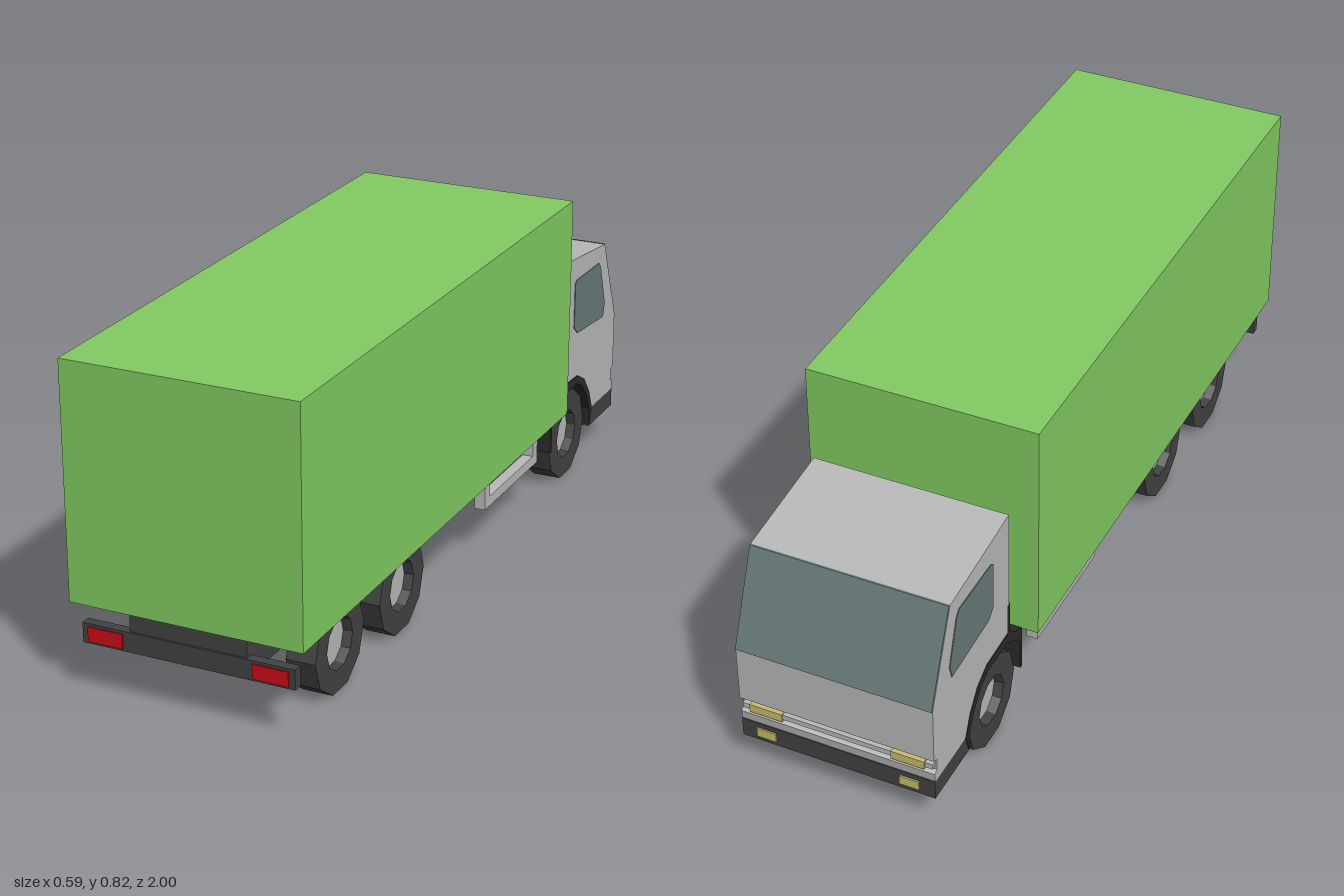
import * as THREE from 'three';

const mat = (color) => new THREE.MeshStandardMaterial({ color, flatShading: true });

export function createModel() {
  const truck = new THREE.Group();
  truck.name = 'boxTruck';
  const green = mat(0x83cc62), grey = mat(0xbababa), dark = mat(0x424242), black = mat(0x2b2b2b);
  const glass = mat(0x687a7a), red = mat(0xcc0d18), yellow = mat(0xc8bc70);

  const add = (name, geometry, material) => {
    const mesh = new THREE.Mesh(geometry, material);
    mesh.name = name;
    truck.add(mesh);
    return mesh;
  };
  // Box given by its limits on each axis
  const box = (name, material, x0, x1, y0, y1, z0, z1) => {
    const m = add(name, new THREE.BoxGeometry(x1 - x0, y1 - y0, z1 - z0), material);
    m.position.set((x0 + x1) / 2, (y0 + y1) / 2, (z0 + z1) / 2);
    return m;
  };
  // Side outline of [z, y] points, extruded across x
  const sideExtrude = (name, material, pts, x0, x1) => {
    const shape = new THREE.Shape(pts.map(([z, y]) => new THREE.Vector2(-z, y)));
    const g = new THREE.ExtrudeGeometry(shape, { depth: x1 - x0, bevelEnabled: false });
    g.rotateY(Math.PI / 2).translate(x0, 0, 0);
    return add(name, g, material);
  };

  // Cargo body and chassis
  box('cargoBox', green, -0.296, 0.296, 0.237, 0.825, -0.535, 1);
  box('chassis', dark, -0.149, 0.149, 0.137, 0.237, -0.575, 0.985);
  box('frontChassis', black, -0.149, 0.149, 0.14, 0.235, -0.9, -0.575);
  box('rearBumper', dark, -0.27, 0.27, 0.137, 0.187, 0.965, 0.99);

  // Cab shell with wheel arch and a slot across the nose
  sideExtrude('cab', grey, [
    [-0.597, 0.625], [-0.9, 0.592], [-0.995, 0.357], [-0.995, 0.205], [-0.98, 0.2],
    [-0.98, 0.168], [-0.993, 0.163], [-0.99, 0.138], [-0.825, 0.138], [-0.8, 0.19],
    [-0.765, 0.235], [-0.72, 0.262], [-0.597, 0.262],
  ], -0.25, 0.25);
  sideExtrude('windscreen', glass, [
    [-0.899, 0.594], [-0.903, 0.593], [-0.999, 0.357], [-0.994, 0.356],
  ], -0.249, 0.249);
  box('noseStrip', grey, -0.245, 0.245, 0.176, 0.19, -0.992, -0.975);
  box('frontBumper', dark, -0.25, 0.25, 0.087, 0.139, -0.992, -0.82);
  box('cabBackSill', black, -0.25, 0.25, 0.25, 0.36, -0.607, -0.592);

  // Tyre with a recessed rim on the outer face, axis along y
  const R = 0.124, r = 0.066, half = 0.0375;
  const tyreProfile = [
    [0, -half], [R, -half], [R, half], [r, half], [r - 0.004, half - 0.025],
  ].map(([a, b]) => new THREE.Vector2(a, b));
  const tyreGeo = new THREE.LatheGeometry(tyreProfile, 10);
  const hubGeo = new THREE.CylinderGeometry(r, r, 0.01, 10);

  for (const s of [1, -1]) {
    // Mirrored box: limits are given for the left side
    const sideBox = (name, m, x0, x1, ...rest) =>
      box(name, m, Math.min(s * x0, s * x1), Math.max(s * x0, s * x1), ...rest);
    const sidePart = (name, m, pts, x0, x1) =>
      sideExtrude(name, m, pts, Math.min(s * x0, s * x1), Math.max(s * x0, s * x1));

    // Wheels
    for (const z of [-0.674, 0.377, 0.71]) {
      const wheel = new THREE.Group();
      wheel.name = 'wheel';
      const tyre = new THREE.Mesh(tyreGeo, dark);
      tyre.name = 'tyre';
      const hub = new THREE.Mesh(hubGeo, grey);
      hub.name = 'hub';
      hub.position.y = half - 0.028;
      wheel.add(tyre, hub);
      wheel.rotation.z = -s * Math.PI / 2;
      wheel.position.set(s * 0.2025, 0.118, z);
      truck.add(wheel);
    }

    // Mudguard band over the front wheel
    sidePart('mudguard', black, [
      [-0.53, 0.115], [-0.53, 0.237], [-0.565, 0.25], [-0.595, 0.278], [-0.72, 0.272],
      [-0.77, 0.245], [-0.81, 0.195], [-0.835, 0.138], [-0.82, 0.09], [-0.815, 0.14],
      [-0.79, 0.19], [-0.755, 0.23], [-0.715, 0.25], [-0.61, 0.25], [-0.57, 0.225],
      [-0.542, 0.2], [-0.54, 0.115],
    ], 0.15, 0.252);

    // Side window
    sidePart('sideWindow', glass, [
      [-0.684, 0.545], [-0.695, 0.553], [-0.858, 0.551], [-0.872, 0.535],
      [-0.91, 0.42], [-0.9, 0.383], [-0.71, 0.398], [-0.684, 0.42],
    ], 0.24, 0.252);

    // Side guard: two posts and a rail
    sideBox('guardPost', grey, 0.222, 0.251, 0.125, 0.24, -0.125, -0.095);
    sideBox('guardPost', grey, 0.222, 0.251, 0.125, 0.24, -0.44, -0.41);
    sideBox('guardRail', grey, 0.222, 0.251, 0.125, 0.152, -0.41, -0.125);

    // Lamps
    sideBox('tailLamp', red, 0.165, 0.255, 0.143, 0.18, 0.985, 0.994);
    sideBox('headlamp', yellow, 0.14, 0.225, 0.172, 0.194, -0.996, -0.98);
    sideBox('fogLamp', yellow, 0.16, 0.21, 0.1, 0.125, -0.996, -0.985);
  }
  return truck;
}
